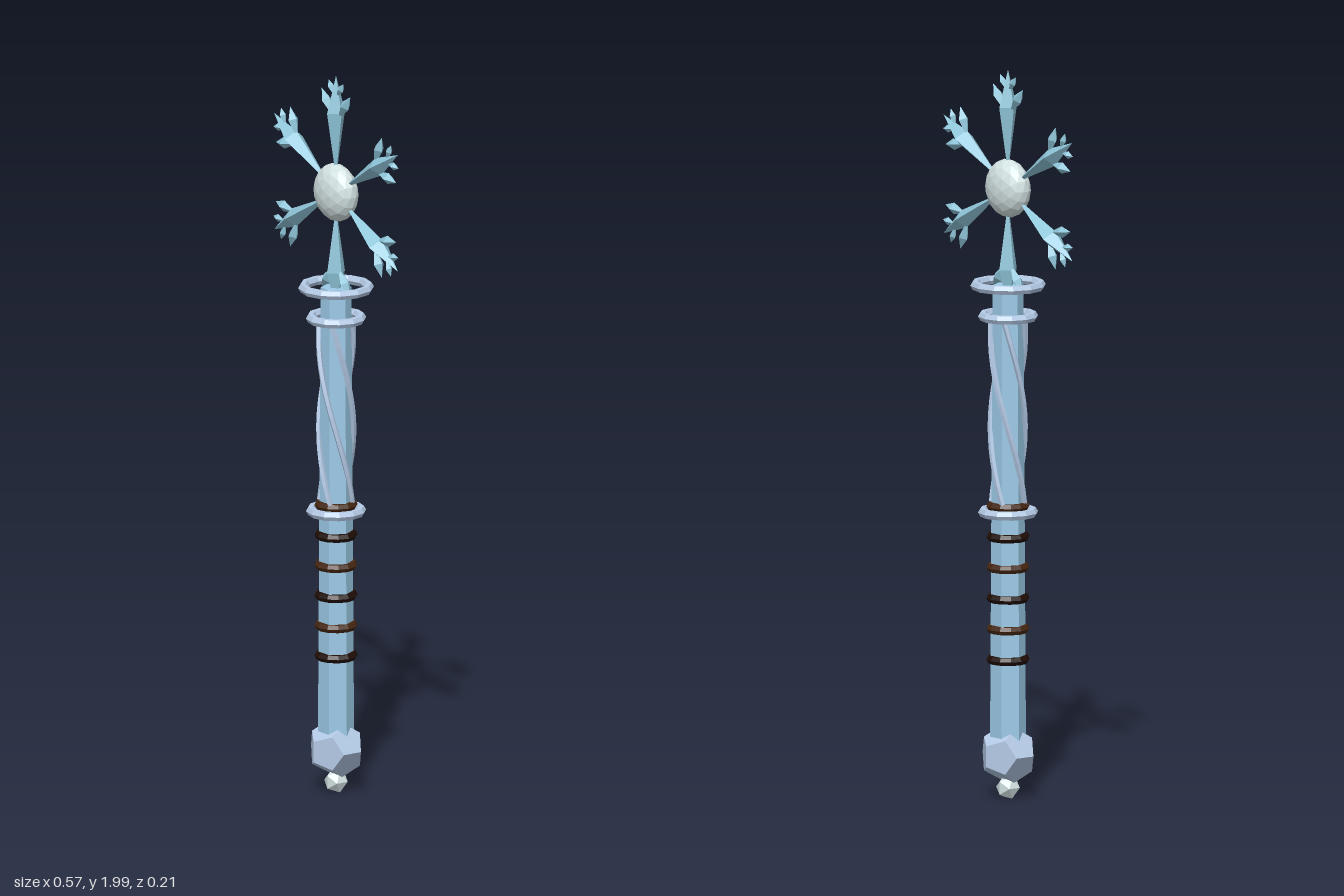
import * as THREE from 'three';

const mat = (color) => new THREE.MeshStandardMaterial({ color, flatShading: true });
const ICE = mat(0x8fc6da), SHAFT = mat(0x9ccbe8), SILVER = mat(0xb4cae6), ORB = mat(0xd3e2e2);
const LEATHER = [mat(0x1f0d06), mat(0x452612)];

function add(parent, name, geometry, material, y = 0) {
  const mesh = new THREE.Mesh(geometry, material);
  mesh.name = name;
  mesh.position.y = y;
  parent.add(mesh);
  return mesh;
}

// Four-sided double-pointed crystal between two points in the xy plane
function crystal(parent, name, [x0, y0], [x1, y1], radius, mid, widthScale = 1) {
  const len = Math.hypot(x1 - x0, y1 - y0);
  const profile = [[0, 0], [radius, len * mid], [0, len]].map(([r, y]) => new THREE.Vector2(r, y));
  const mesh = add(parent, name, new THREE.LatheGeometry(profile, 4), ICE);
  mesh.position.set(x0, y0, 0);
  mesh.rotation.z = -Math.atan2(x1 - x0, y1 - y0);
  mesh.scale.x = widthScale;
}

// One snowflake arm pointing up, with two pairs of side shards
function createArm() {
  const arm = new THREE.Group();
  arm.name = 'snowflakeArm';
  crystal(arm, 'armSpike', [0, 0.04], [0, 0.325], 0.03, 0.64, 0.85);
  for (const s of [-1, 1]) {
    crystal(arm, 'sideShard', [s * 0.008, 0.205], [s * 0.065, 0.278], 0.016, 0.6);
    crystal(arm, 'tipShard', [s * 0.003, 0.265], [s * 0.034, 0.308], 0.011, 0.6);
  }
  return arm;
}

export function createModel() {
  const staff = new THREE.Group();
  staff.name = 'snowflakeStaff';

  // Hexagonal shaft, slightly tapered towards the top
  const shaft = new THREE.CylinderGeometry(0.042, 0.049, 1.25, 6);
  shaft.rotateY(Math.PI / 6);
  add(staff, 'shaft', shaft, SHAFT, 0.785);

  // Pommel and its small crystal foot
  add(staff, 'pommel', new THREE.DodecahedronGeometry(0.08), SILVER, 0.125);
  add(staff, 'pommelTip', new THREE.IcosahedronGeometry(0.034), ORB, 0.034);

  // Leather grip bands in alternating browns
  for (let i = 0; i < 6; i++) {
    const band = new THREE.TorusGeometry(0.047, 0.012, 6, 12);
    band.rotateX(Math.PI / 2);
    add(staff, 'gripBand', band, LEATHER[i % 2], 0.385 + i * 0.084);
  }

  // Silver collars
  for (const [y, r] of [[0.788, 0.069], [1.325, 0.069], [1.41, 0.09]]) {
    const ring = new THREE.TorusGeometry(r, 0.013, 6, 12);
    ring.rotateX(Math.PI / 2);
    add(staff, 'collar', ring, SILVER, y);
  }

  // Strands winding around the upper shaft
  for (let k = 0; k < 4; k++) {
    const points = [];
    for (let i = 0; i <= 8; i++) {
      const y = 0.8 + (0.52 * i) / 8;
      const a = ((1.17 - y) / 0.52) * Math.PI + (k * Math.PI) / 2;
      points.push(new THREE.Vector3(0.047 * Math.sin(a), y, 0.047 * Math.cos(a)));
    }
    const curve = new THREE.CatmullRomCurve3(points);
    add(staff, 'windingStrand', new THREE.TubeGeometry(curve, 16, 0.008, 5), SILVER);
  }

  // Snowflake head: flattened orb with six arms
  const head = new THREE.Group();
  head.name = 'snowflakeHead';
  head.position.y = 1.675;
  staff.add(head);
  add(head, 'orb', new THREE.IcosahedronGeometry(0.08, 2), ORB).scale.z = 0.6;
  for (let i = 0; i < 6; i++) {
    const arm = createArm();
    arm.rotation.z = (i * Math.PI) / 3;
    head.add(arm);
  }
  return staff;
}
